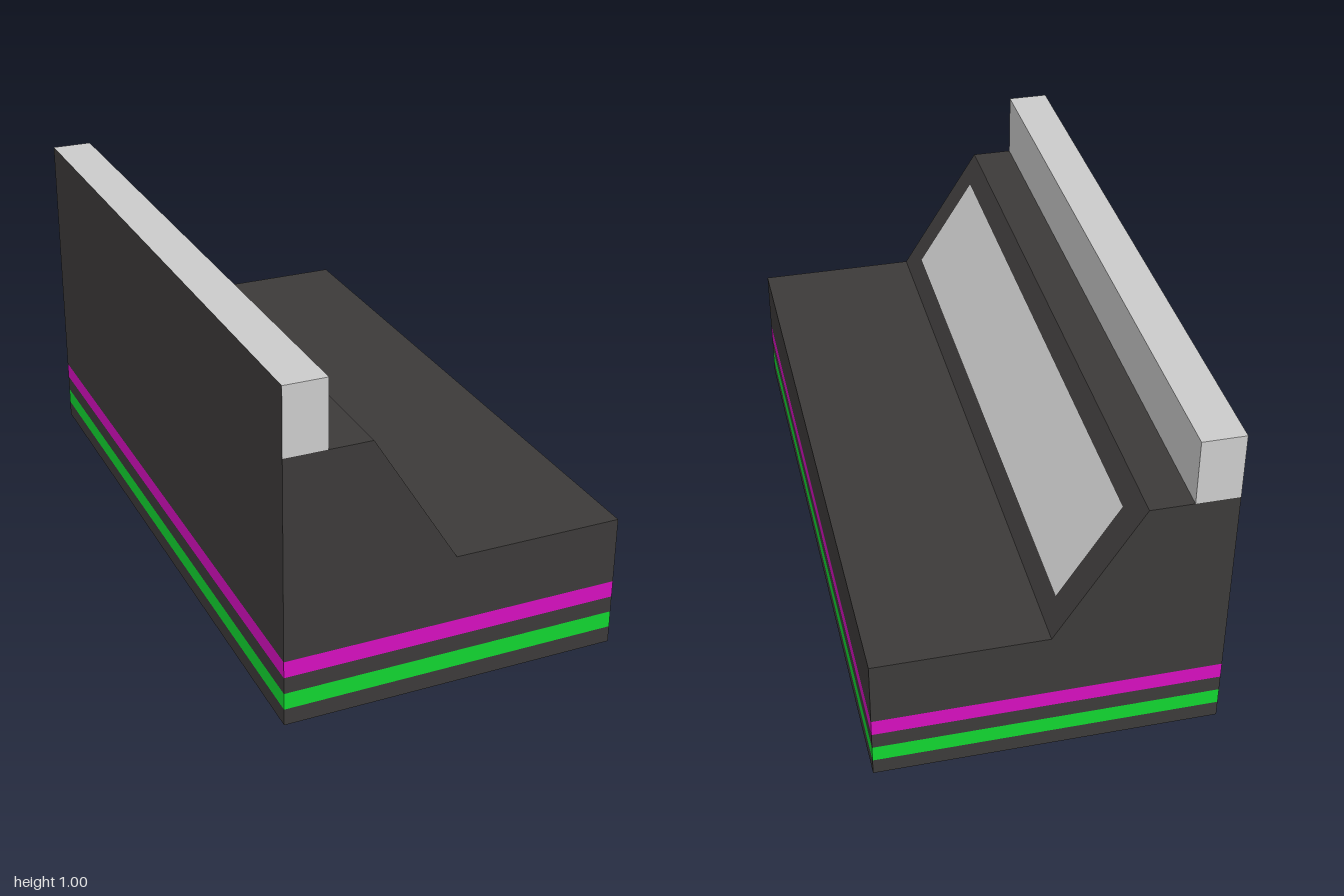
import * as THREE from 'three';

const LENGTH = 2;

const mat = (color) => new THREE.MeshStandardMaterial({ color, flatShading: true });

export function createModel() {
  const group = new THREE.Group();
  const dark = mat(0x3c3a39);
  const grey = mat(0xcccccc);
  const magenta = mat(0xd50fbe);
  const green = mat(0x12d530);

  const add = (name, geometry, material) => {
    const mesh = new THREE.Mesh(geometry, material);
    mesh.name = name;
    group.add(mesh);
    return mesh;
  };

  // Base: flush coloured bands, each 0.05 high, stacked from the ground
  const layers = [
    ['baseLayer', dark],
    ['greenStripe', green],
    ['middleLayer', dark],
    ['magentaStripe', magenta],
  ];
  layers.forEach(([name, material], i) => {
    const band = new THREE.BoxGeometry(1, 0.05, LENGTH).translate(0, 0.05 * i + 0.025, 0);
    add(name, band, material);
  });

  // Console body: raised back, sloped panel, low desk
  const profile = new THREE.Shape(
    [[-0.5, 0.2], [0.5, 0.2], [0.5, 0.4], [0, 0.4], [-0.25, 0.8], [-0.5, 0.8]]
      .map(([x, y]) => new THREE.Vector2(x, y))
  );
  const body = new THREE.ExtrudeGeometry(profile, { depth: LENGTH, bevelEnabled: false });
  add('consoleBody', body.translate(0, 0, -LENGTH / 2), dark);

  // Screen lying on the slope, lifted a hair above it
  const tilt = Math.atan2(0.25, 0.4);
  const screen = new THREE.PlaneGeometry(1.8, 0.7 * Math.hypot(0.25, 0.4))
    .rotateY(Math.PI / 2)
    .rotateZ(tilt)
    .translate(-0.125 + 0.001 * Math.cos(tilt), 0.6 + 0.001 * Math.sin(tilt), 0);
  add('screen', screen, grey);

  // Top rail: grey, with its outer long side dark like the wall below it
  const rail = new THREE.BoxGeometry(0.125, 0.2, LENGTH).translate(-0.4375, 0.9, 0);
  add('topRail', rail, [grey, dark, grey, grey, grey, grey]);

  return group;
}
